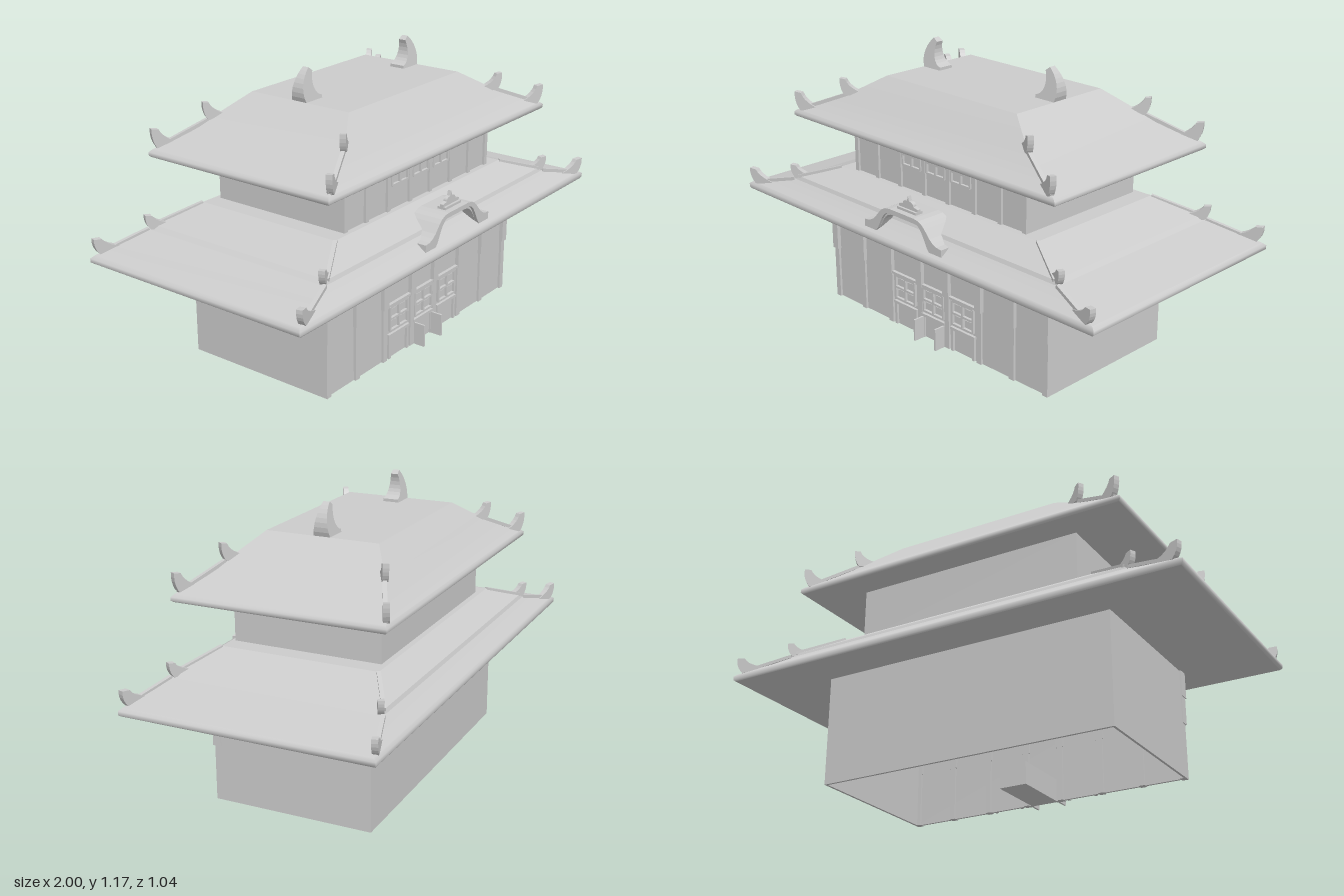
import * as THREE from 'three';

const mat = new THREE.MeshStandardMaterial({ color: 0xcccccc, side: THREE.DoubleSide });
const flat = new THREE.MeshStandardMaterial({ color: 0xcccccc, side: THREE.DoubleSide, flatShading: true });

function add(parent, name, geo, m = mat) {
  const mesh = new THREE.Mesh(geo, m);
  mesh.name = name;
  parent.add(mesh);
  return mesh;
}

// Box given by its min and max corners
function box(parent, name, x0, x1, y0, y1, z0, z1) {
  const b = add(parent, name, new THREE.BoxGeometry(x1 - x0, y1 - y0, z1 - z0));
  b.position.set((x0 + x1) / 2, (y0 + y1) / 2, (z0 + z1) / 2);
  return b;
}

// One roof band: rings [halfX, y, halfZ] from low to high, smooth along each side, sharp at the hips
function roofBand(parent, name, rings) {
  const pos = [], idx = [];
  const corners = [[-1, 1], [1, 1], [1, -1], [-1, -1]];
  for (let s = 0; s < 4; s++) {
    const a = corners[s], b = corners[(s + 1) % 4], base = pos.length / 3;
    rings.forEach(([x, y, z], i) => {
      pos.push(a[0] * x, y, a[1] * z, b[0] * x, y, b[1] * z);
      if (i) {
        const k = base + i * 2;
        idx.push(k - 2, k - 1, k + 1, k - 2, k + 1, k);
      }
    });
  }
  const geo = new THREE.BufferGeometry();
  geo.setAttribute('position', new THREE.Float32BufferAttribute(pos, 3));
  geo.setIndex(idx);
  geo.computeVertexNormals();
  add(parent, name, geo);
}

function roof(name, bands) {
  const g = new THREE.Group();
  g.name = name;
  bands.forEach((b, i) => roofBand(g, i ? 'roofSlope' : 'eaveFascia', b));
  const low = bands[0][0], high = bands.at(-1).at(-1);
  add(g, 'soffit', new THREE.PlaneGeometry(low[0] * 2, low[2] * 2).rotateX(Math.PI / 2)).position.y = low[1];
  add(g, 'roofTop', new THREE.PlaneGeometry(high[0] * 2, high[2] * 2).rotateX(-Math.PI / 2)).position.y = high[1];
  return g;
}

// Upturned horn profile: x runs outward, tip at (0, height)
function hornGeometry(len, h, thick) {
  const s = new THREE.Shape();
  s.moveTo(-len, 0.012);
  s.quadraticCurveTo(-len * 0.45, h * 0.45, -len * 0.3, h * 0.95);
  s.lineTo(-len * 0.02, h);
  s.quadraticCurveTo(len * 0.02, h * 0.35, -len * 0.25, -0.008);
  s.lineTo(-len, -0.008);
  return new THREE.ExtrudeGeometry(s, { depth: thick, bevelEnabled: false, curveSegments: 5 })
    .translate(0, 0, -thick / 2);
}

// Horns on the four hips, with the tip over (x, z) and the tail towards (x2, z2)
function hipHorns(parent, x, y, z, x2, z2, len, h) {
  const geo = hornGeometry(len, h, 0.024);
  for (const sx of [1, -1]) for (const sz of [1, -1]) {
    const horn = add(parent, 'hipHorn', geo, flat);
    horn.position.set(sx * x, y, sz * z);
    horn.rotation.y = Math.atan2(-sz * (z - z2), sx * (x - x2));
  }
}

// Low ridge bars along the four hips
function hipRidge(parent, a, b) {
  for (const sx of [1, -1]) for (const sz of [1, -1]) {
    const p = new THREE.Vector3(sx * a[0], a[1], sz * a[2]);
    const q = new THREE.Vector3(sx * b[0], b[1], sz * b[2]);
    const bar = add(parent, 'hipRidge', new THREE.BoxGeometry(0.016, 0.014, p.distanceTo(q)));
    bar.position.copy(p).lerp(q, 0.5);
    bar.lookAt(q);
  }
}

// Lattice window: frame, mullions and recessed pane
function windowFrame(parent, cx, w, y0, y1, z) {
  const g = new THREE.Group(), t = 0.009;
  g.name = 'latticeWindow';
  parent.add(g);
  for (const x of [cx - w / 2, cx, cx + w / 2]) box(g, 'stile', x - t / 2, x + t / 2, y0, y1, z, z + 0.012);
  for (const y of [y0, (y0 + y1) / 2, y1])
    box(g, 'rail', cx - w / 2, cx + w / 2, y - t / 2, y + t / 2, z, z + 0.012);
  for (const sx of [-1, 1]) for (const f of [0.25, 0.75]) {
    const x = cx + sx * w / 4, y = y0 + (y1 - y0) * f;
    box(g, 'pane', x - w * 0.16, x + w * 0.16, y - 0.015, y + 0.015, z, z + 0.006);
  }
}

export function createModel() {
  const model = new THREE.Group();
  model.name = 'gatehouse';

  // Lower storey: hollow walls, open below
  const lower = new THREE.Group();
  lower.name = 'lowerStorey';
  model.add(lower);
  box(lower, 'backWall', -0.635, 0.635, 0, 0.456, -0.33, -0.32);
  box(lower, 'frontWall', -0.635, 0.635, 0, 0.456, 0.318, 0.328);
  for (const s of [-1, 1]) {
    const x = s * 0.63;
    box(lower, 'sideWall', x - 0.005, x + 0.005, 0, 0.456, -0.33, 0.328);
  }
  for (const s of [-1, 1]) for (const x of [0.08, 0.265, 0.445, 0.622]) {
    box(lower, 'column', s * x - 0.013, s * x + 0.013, 0, 0.456, 0.31, 0.338);
    box(lower, 'columnUpper', s * x - 0.017, s * x + 0.017, 0.23, 0.456, 0.31, 0.345);
    box(lower, 'columnBracket', s * x - 0.02, s * x + 0.02, 0.345, 0.456, 0.31, 0.35);
  }
  for (const cx of [-0.172, 0, 0.172]) {
    windowFrame(lower, cx, 0.118, 0.122, 0.225, 0.328);
    box(lower, 'lintel', cx - 0.08, cx + 0.08, 0.23, 0.24, 0.32, 0.342);
    box(lower, 'doorRail', cx - 0.07, cx + 0.07, 0.096, 0.108, 0.32, 0.34);
    for (const s of [-1, 1])
      box(lower, 'doorJamb', cx + s * 0.061 - 0.006, cx + s * 0.061 + 0.006, 0, 0.1, 0.32, 0.338);
  }
  // Entrance passage and open door leaves
  box(lower, 'entrancePassage', -0.06, 0.06, 0, 0.095, 0.06, 0.33);
  for (const s of [-1, 1]) box(lower, 'doorLeaf', s * 0.062 - 0.004, s * 0.062 + 0.004, 0, 0.095, 0.325, 0.388);

  // Lower roof
  const lowRoof = roof('lowerRoof', [
    [[0.99, 0.455, 0.51], [1, 0.462, 0.515], [1, 0.478, 0.515], [0.985, 0.488, 0.505]],
    [[0.985, 0.488, 0.505], [0.93, 0.502, 0.486], [0.85, 0.52, 0.461], [0.765, 0.541, 0.437]],
    [[0.765, 0.541, 0.437], [0.745, 0.556, 0.43]],
    [[0.745, 0.556, 0.43], [0.66, 0.586, 0.382], [0.57, 0.62, 0.33]],
  ]);
  hipRidge(lowRoof, [0.96, 0.495, 0.497], [0.765, 0.543, 0.437]);
  hipRidge(lowRoof, [0.745, 0.556, 0.43], [0.57, 0.618, 0.33]);
  hipHorns(lowRoof, 0.99, 0.495, 0.507, 0.765, 0.437, 0.115, 0.06);
  hipHorns(lowRoof, 0.785, 0.553, 0.438, 0.57, 0.33, 0.09, 0.052);
  model.add(lowRoof);

  // Curved entrance gable: arched band plus a thin lip at its front
  const gable = new THREE.Group();
  gable.name = 'entranceGable';
  model.add(gable);
  const arch = (t) => {
    const s = new THREE.Shape();
    s.moveTo(-0.225, 0.497);
    s.lineTo(-0.225, 0.527);
    s.bezierCurveTo(-0.14, 0.525, -0.15, 0.612, -0.07, 0.612);
    s.lineTo(0.07, 0.612);
    s.bezierCurveTo(0.15, 0.612, 0.14, 0.525, 0.225, 0.527);
    s.lineTo(0.225, 0.497);
    s.lineTo(0.155, 0.497);
    s.bezierCurveTo(0.125, 0.53, 0.12, 0.612 - t, 0.06, 0.612 - t);
    s.lineTo(-0.06, 0.612 - t);
    s.bezierCurveTo(-0.12, 0.612 - t, -0.125, 0.53, -0.155, 0.497);
    return s;
  };
  const band = (t, depth) => new THREE.ExtrudeGeometry(arch(t), { depth, bevelEnabled: false, curveSegments: 8 });
  add(gable, 'gableArch', band(0.028, 0.117)).position.z = 0.365;
  add(gable, 'gableLip', band(0.015, 0.012)).position.z = 0.482;
  // Crest of the gable
  const crest = new THREE.Shape();
  crest.moveTo(-0.055, 0.61);
  crest.lineTo(-0.055, 0.632);
  crest.lineTo(-0.03, 0.638);
  crest.quadraticCurveTo(-0.03, 0.655, -0.006, 0.655);
  crest.lineTo(0, 0.675);
  crest.lineTo(0.006, 0.655);
  crest.quadraticCurveTo(0.03, 0.655, 0.03, 0.638);
  crest.lineTo(0.055, 0.632);
  crest.lineTo(0.055, 0.61);
  add(gable, 'gableCrest', new THREE.ExtrudeGeometry(crest, { depth: 0.016, bevelEnabled: false })).position.z = 0.442;
  box(gable, 'crestBase', -0.055, 0.055, 0.608, 0.622, 0.432, 0.468);

  // Upper storey
  const upper = new THREE.Group();
  upper.name = 'upperStorey';
  model.add(upper);
  box(upper, 'upperWalls', -0.495, 0.495, 0.615, 0.832, -0.307, 0.305);
  for (const s of [-1, 1]) for (const x of [0.07, 0.215, 0.355, 0.485]) {
    box(upper, 'upperColumn', s * x - 0.01, s * x + 0.01, 0.618, 0.832, 0.3, 0.315);
    box(upper, 'upperBracket', s * x - 0.013, s * x + 0.013, 0.81, 0.832, 0.3, 0.322);
  }
  for (const cx of [-0.142, 0, 0.142]) windowFrame(upper, cx, 0.105, 0.72, 0.81, 0.304);

  // Upper roof
  const upRoof = roof('upperRoof', [
    [[0.735, 0.83, 0.43], [0.742, 0.836, 0.437], [0.742, 0.85, 0.437], [0.728, 0.86, 0.428]],
    [[0.728, 0.86, 0.428], [0.65, 0.888, 0.392], [0.57, 0.92, 0.357], [0.5, 0.958, 0.32],
      [0.435, 0.998, 0.28], [0.367, 1.04, 0.237]],
  ]);
  hipRidge(upRoof, [0.715, 0.864, 0.421], [0.5, 0.957, 0.32]);
  hipHorns(upRoof, 0.732, 0.868, 0.432, 0.5, 0.32, 0.1, 0.073);
  hipHorns(upRoof, 0.54, 0.955, 0.343, 0.367, 0.237, 0.085, 0.064);
  model.add(upRoof);

  // Pair of curved ridge finials, thinner towards the tip
  const fin = new THREE.Shape();
  fin.moveTo(0.27, 1.038);
  fin.lineTo(0.365, 1.038);
  fin.bezierCurveTo(0.39, 1.09, 0.36, 1.14, 0.325, 1.167);
  fin.lineTo(0.305, 1.152);
  fin.bezierCurveTo(0.325, 1.11, 0.31, 1.06, 0.27, 1.052);
  const finGeo = new THREE.ExtrudeGeometry(fin, { depth: 0.07, bevelEnabled: false, curveSegments: 8 }).translate(0, 0, -0.035);
  const p = finGeo.attributes.position;
  for (let i = 0; i < p.count; i++) p.setZ(i, p.getZ(i) * (1 - 0.62 * (p.getY(i) - 1.038) / 0.129));
  finGeo.computeVertexNormals();
  for (const r of [0, Math.PI]) add(upRoof, 'ridgeFinial', finGeo, flat).rotation.y = r;

  return model;
}
